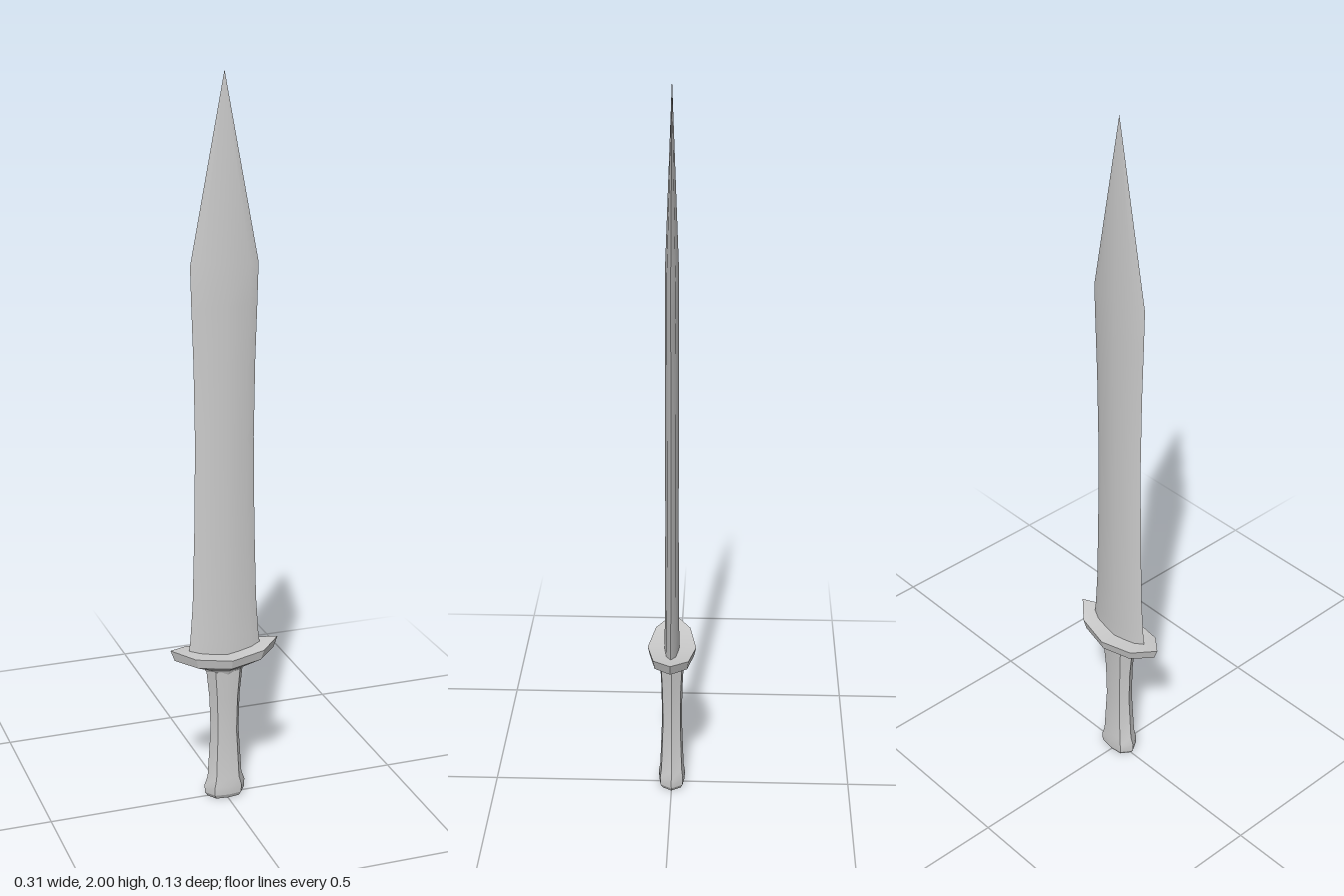
import * as THREE from 'three';
import { toCreasedNormals } from 'three/addons/utils/BufferGeometryUtils.js';

const material = new THREE.MeshStandardMaterial({ color: 0xcccccc });

// Eight-sided ring: two side points, a front and back ridge, four shoulders.
// w, d: half width and depth; sx, sz: shoulder position as a share of them;
// lift: how far the side points curve upward.
function ring({ y, w, d, sx, sz, lift = 0 }) {
  const outline = [[1, 0], [sx, sz], [0, 1], [-sx, sz], [-1, 0], [-sx, -sz], [0, -1], [sx, -sz]];
  return outline.map(([x, z]) => new THREE.Vector3(x * w, y + lift * x * x, z * d));
}

// Joins a stack of rings (bottom to top) into a closed solid.
function loft(name, sections, crease) {
  const rings = sections.map(ring);
  const positions = [];
  const tri = (...points) => {
    const [a, b, c] = points;
    if (new THREE.Triangle(a, b, c).getArea() < 1e-9) return;
    points.forEach((p) => positions.push(p.x, p.y, p.z));
  };
  const last = rings.length - 1;
  const bottom = new THREE.Vector3(0, sections[0].y, 0);
  const top = new THREE.Vector3(0, sections[last].y, 0);
  for (let j = 0; j < 8; j++) {
    const k = (j + 1) % 8;
    for (let i = 0; i < last; i++) {
      tri(rings[i][j], rings[i + 1][j], rings[i][k]);
      tri(rings[i][k], rings[i + 1][j], rings[i + 1][k]);
    }
    tri(bottom, rings[0][j], rings[0][k]);
    tri(top, rings[last][k], rings[last][j]);
  }
  const geometry = new THREE.BufferGeometry();
  geometry.setAttribute('position', new THREE.Float32BufferAttribute(positions, 3));
  const mesh = new THREE.Mesh(toCreasedNormals(geometry, crease), material);
  mesh.name = name;
  return mesh;
}

export function createModel() {
  const sword = new THREE.Group();
  sword.name = 'sword';

  // Blade: flared at the root, slightly waisted, long straight point
  const blade = [
    [0.42, 0.105, 0.021], [0.48, 0.098, 0.02], [0.58, 0.091, 0.019], [0.8, 0.085, 0.018],
    [1.04, 0.082, 0.018], [1.25, 0.085, 0.018], [1.4, 0.09, 0.018], [1.51, 0.093, 0.018], [2, 0, 0],
  ].map(([y, w, d]) => ({ y, w, d, sx: 0.72, sz: 0.62 }));
  sword.add(loft('blade', blade, 0.55));

  // Guard: boat-shaped plate with upswept ends, narrowing to the grip
  const guard = [
    [0.375, 0.05, 0.032, 0], [0.39, 0.06, 0.038, 0],
    [0.405, 0.143, 0.061, 0.02], [0.431, 0.155, 0.067, 0.025],
  ].map(([y, w, d, lift]) => ({ y, w, d, lift, sx: 0.63, sz: 0.72 }));
  sword.add(loft('guard', guard, 0.4));

  // Grip: waisted handle with a flared, bevelled end
  const grip = [
    [0, 0.05, 0.03], [0.012, 0.058, 0.036], [0.035, 0.059, 0.037], [0.06, 0.05, 0.033],
    [0.2, 0.041, 0.028], [0.3, 0.044, 0.029], [0.385, 0.053, 0.033],
  ].map(([y, w, d]) => ({ y, w, d, sx: 0.66, sz: 0.86 }));
  sword.add(loft('grip', grip, 0.4));

  return sword;
}
